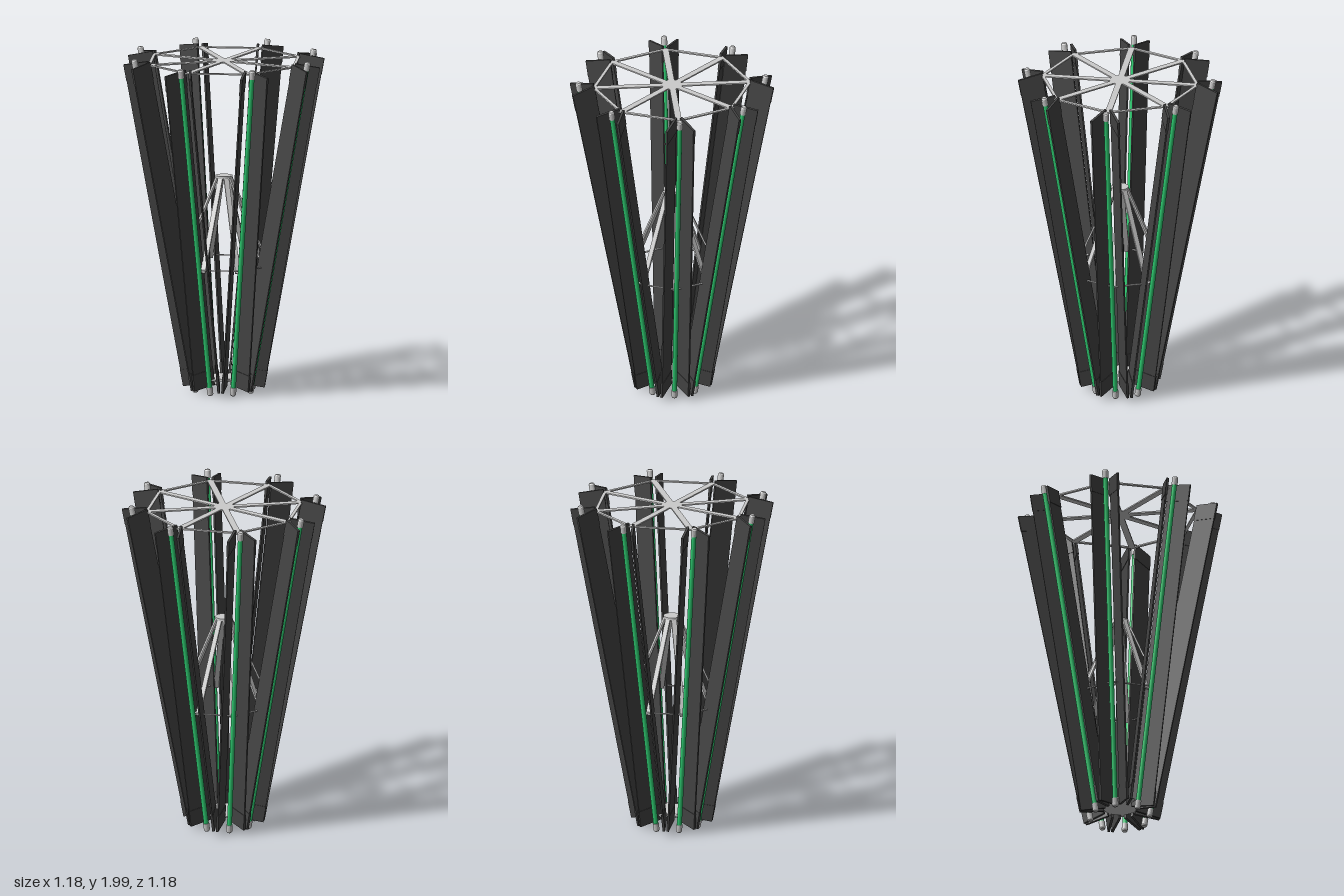
import * as THREE from 'three';

const ARMS = 8;
const LEAN = Math.atan2(0.375, 1.98);
const grey = new THREE.MeshStandardMaterial({ color: 0xcccccc });
const dark = new THREE.MeshStandardMaterial({ color: 0x444444 });
const green = new THREE.MeshStandardMaterial({ color: 0x2ecc71 });

function add(parent, name, geometry, material, x = 0, y = 0, z = 0) {
  const mesh = new THREE.Mesh(geometry, material);
  mesh.name = name;
  mesh.position.set(x, y, z);
  parent.add(mesh);
  return mesh;
}

// Flat bar between two (radius, height) points in the plane of an arm
function bar(parent, name, r0, y0, r1, y1, width, thick) {
  const length = Math.hypot(r1 - r0, y1 - y0);
  const mesh = add(parent, name, new THREE.BoxGeometry(length, thick, width), grey,
    (r0 + r1) / 2, (y0 + y1) / 2);
  mesh.rotation.z = Math.atan2(y1 - y0, r1 - r0);
}

// End cap of a tube, chamfered at its closed end
function capGeometry() {
  const points = [[0, -0.025], [0.018, -0.025], [0.018, 0.018], [0.013, 0.026], [0, 0.026]]
    .map(([x, y]) => new THREE.Vector2(x, y));
  const geometry = new THREE.LatheGeometry(points, 16).toNonIndexed();
  geometry.computeVertexNormals();
  return geometry;
}

// Leaning light tube with two reflector panels opening outward
function createBlade() {
  const blade = new THREE.Group();
  blade.name = 'blade';
  blade.position.set(0.36, 1.0, 0);
  blade.rotation.z = -LEAN;
  add(blade, 'lightTube', new THREE.CylinderGeometry(0.0145, 0.0145, 1.94, 16), green);
  for (const s of [1, -1]) {
    const cap = add(blade, 'tubeCap', capGeometry(), grey, 0, s * 0.985, 0);
    if (s < 0) cap.rotation.x = Math.PI;

    const panel = new THREE.Group();
    panel.name = 'reflectorPanel';
    panel.position.set(-0.02, 0, s * 0.048);
    panel.rotation.y = -s * Math.atan2(0.065, 0.13);
    add(panel, 'panelSheet', new THREE.BoxGeometry(0.144, 1.95, 0.009), dark);
    for (const e of [1, -1]) {
      add(panel, 'panelEnd', new THREE.BoxGeometry(0.147, 0.1, 0.014), dark, 0, e * 0.927, 0);
    }
    blade.add(panel);
  }
  return blade;
}

// One side of an octagonal ring, centred between two arms
function ringSide(parent, name, radius, y, width, thick) {
  const half = Math.PI / ARMS;
  const mid = radius * Math.cos(half);
  const geometry = new THREE.BoxGeometry(width, thick, 2 * radius * Math.sin(half) + width * 0.4);
  const mesh = add(parent, name, geometry, grey, mid * Math.cos(half), y, -mid * Math.sin(half));
  mesh.rotation.y = half;
}

export function createModel() {
  const model = new THREE.Group();
  model.name = 'lightSculpture';

  for (let i = 0; i < ARMS; i++) {
    const arm = new THREE.Group();
    arm.name = 'arm';
    arm.rotation.y = i * 2 * Math.PI / ARMS;
    arm.add(createBlade());
    // Top wheel
    bar(arm, 'topSpoke', 0, 1.955, 0.465, 1.955, 0.037, 0.008);
    ringSide(arm, 'topRing', 0.455, 1.955, 0.018, 0.008);
    // Inner brace
    bar(arm, 'braceLeg', 0.04, 1.275, 0.265, 0.745, 0.03, 0.01);
    ringSide(arm, 'braceRing', 0.275, 0.76, 0.012, 0.005);
    // Base arms
    bar(arm, 'baseSpoke', 0, 0.085, 0.13, 0.085, 0.026, 0.01);
    model.add(arm);
  }

  // Central hubs
  add(model, 'topHub', new THREE.CylinderGeometry(0.06, 0.06, 0.008, 32), grey, 0, 1.955, 0);
  add(model, 'braceHub', new THREE.CylinderGeometry(0.05, 0.05, 0.014, 32), grey, 0, 1.272, 0);
  add(model, 'baseHub', new THREE.CylinderGeometry(0.1, 0.1, 0.012, 32), grey, 0, 0.085, 0);
  return model;
}
